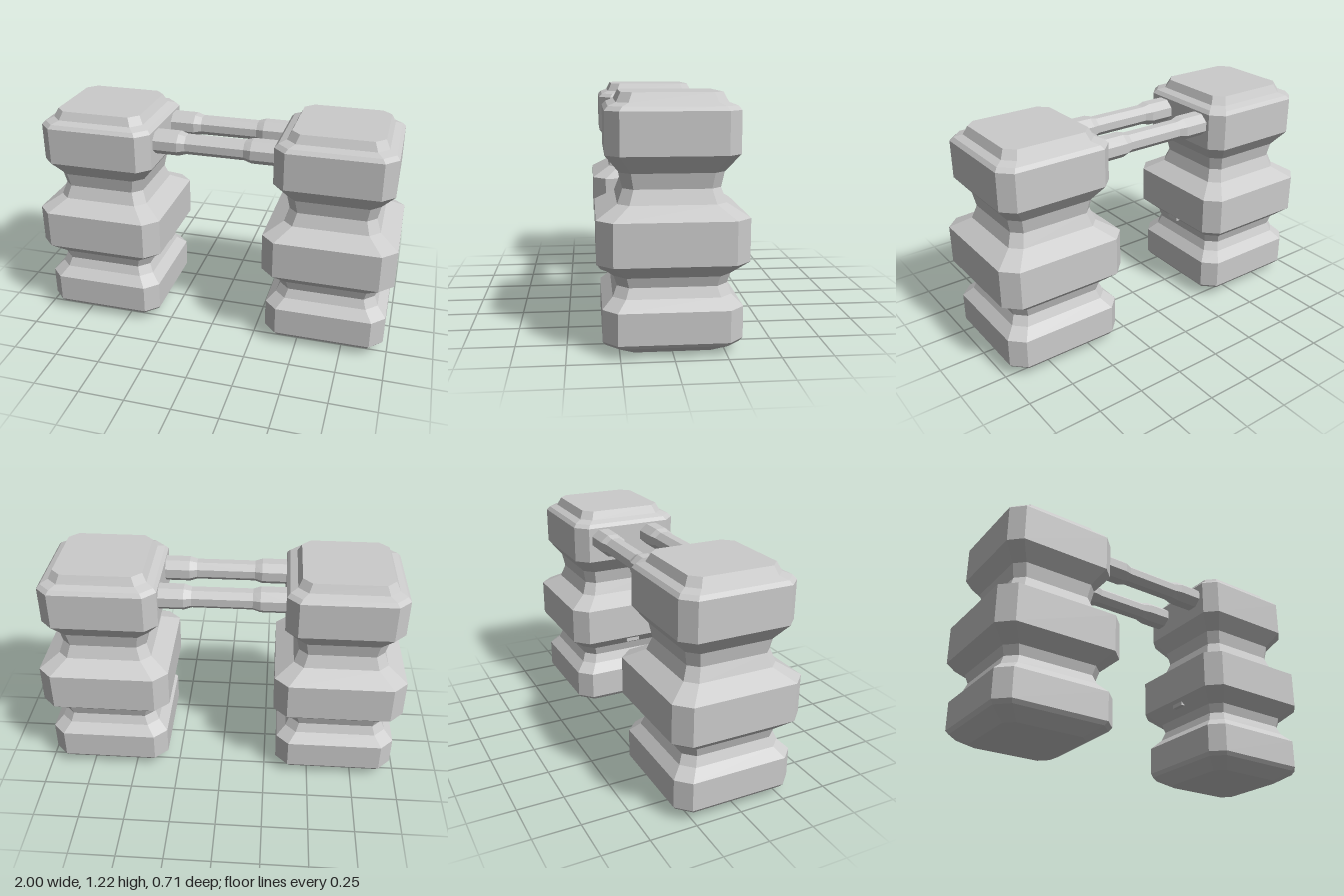
import * as THREE from 'three';

const material = new THREE.MeshStandardMaterial({ color: 0xcccccc, flatShading: true });

// Joins a stack of rings (arrays of [x, y, z], counter-clockwise seen from the far end) and caps both ends
function loft(rings) {
  const n = rings[0].length;
  const index = [];
  for (let r = 0; r < rings.length - 1; r++) {
    for (let i = 0; i < n; i++) {
      const a = r * n + i, b = r * n + (i + 1) % n;
      index.push(a, b, b + n, a, b + n, a + n);
    }
  }
  const last = (rings.length - 1) * n;
  for (let i = 1; i < n - 1; i++) {
    index.push(0, i + 1, i, last, last + i, last + i + 1);
  }
  const indexed = new THREE.BufferGeometry();
  indexed.setAttribute('position', new THREE.Float32BufferAttribute(rings.flat(2), 3));
  indexed.setIndex(index);
  const geometry = indexed.toNonIndexed();
  geometry.computeVertexNormals();
  return geometry;
}

// Square ring with cut corners at height y
function chamferedRing(y, half) {
  const flat = half * 0.79;
  return [
    [half, y, flat], [half, y, -flat], [flat, y, -half], [-flat, y, -half],
    [-half, y, -flat], [-half, y, flat], [-flat, y, half], [flat, y, half],
  ];
}

// Octagonal ring across the bar at position x
function barRing(x, halfY, halfZ) {
  return Array.from({ length: 8 }, (_, i) => {
    const a = (i + 0.5) * Math.PI / 4;
    const k = 1 / Math.cos(Math.PI / 8);
    return [x, Math.cos(a) * halfY * k, Math.sin(a) * halfZ * k];
  });
}

function addMesh(parent, name, geometry, x, y, z) {
  const mesh = new THREE.Mesh(geometry, material);
  mesh.name = name;
  mesh.position.set(x, y, z);
  parent.add(mesh);
  return mesh;
}

export function createModel() {
  const model = new THREE.Group();
  model.name = 'linkedPillars';

  // Pillar outline: height, half width
  const profile = [
    [0, 0.23], [0.05, 0.315], [0.07, 0.33], [0.225, 0.33],
    [0.275, 0.28], [0.325, 0.26], [0.375, 0.275],
    [0.445, 0.355], [0.65, 0.355],
    [0.71, 0.255], [0.78, 0.23], [0.855, 0.245],
    [0.94, 0.312], [1.14, 0.312], [1.16, 0.295], [1.175, 0.257], [1.22, 0.235],
  ];
  const pillar = loft(profile.map(([y, half]) => chamferedRing(y, half)));
  const lug = new THREE.BoxGeometry(0.045, 0.035, 0.08);

  for (const side of [1, -1]) {
    const name = side > 0 ? 'left' : 'right';
    addMesh(model, name + 'Pillar', pillar, side * 0.645, 0, 0);
    // Small lug under the inner edge of the middle block
    addMesh(model, name + 'Lug', lug, side * 0.33, 0.425, 0.01);
  }

  // Two bars with thicker ends
  const bar = loft([
    [-0.345, 0.061, 0.071], [-0.2, 0.061, 0.071], [-0.16, 0.05, 0.056],
    [0.16, 0.05, 0.056], [0.2, 0.061, 0.071], [0.345, 0.061, 0.071],
  ].map(ring => barRing(...ring)));
  addMesh(model, 'frontBar', bar, 0, 1.07, 0.146);
  addMesh(model, 'backBar', bar, 0, 1.07, -0.157);

  return model;
}
